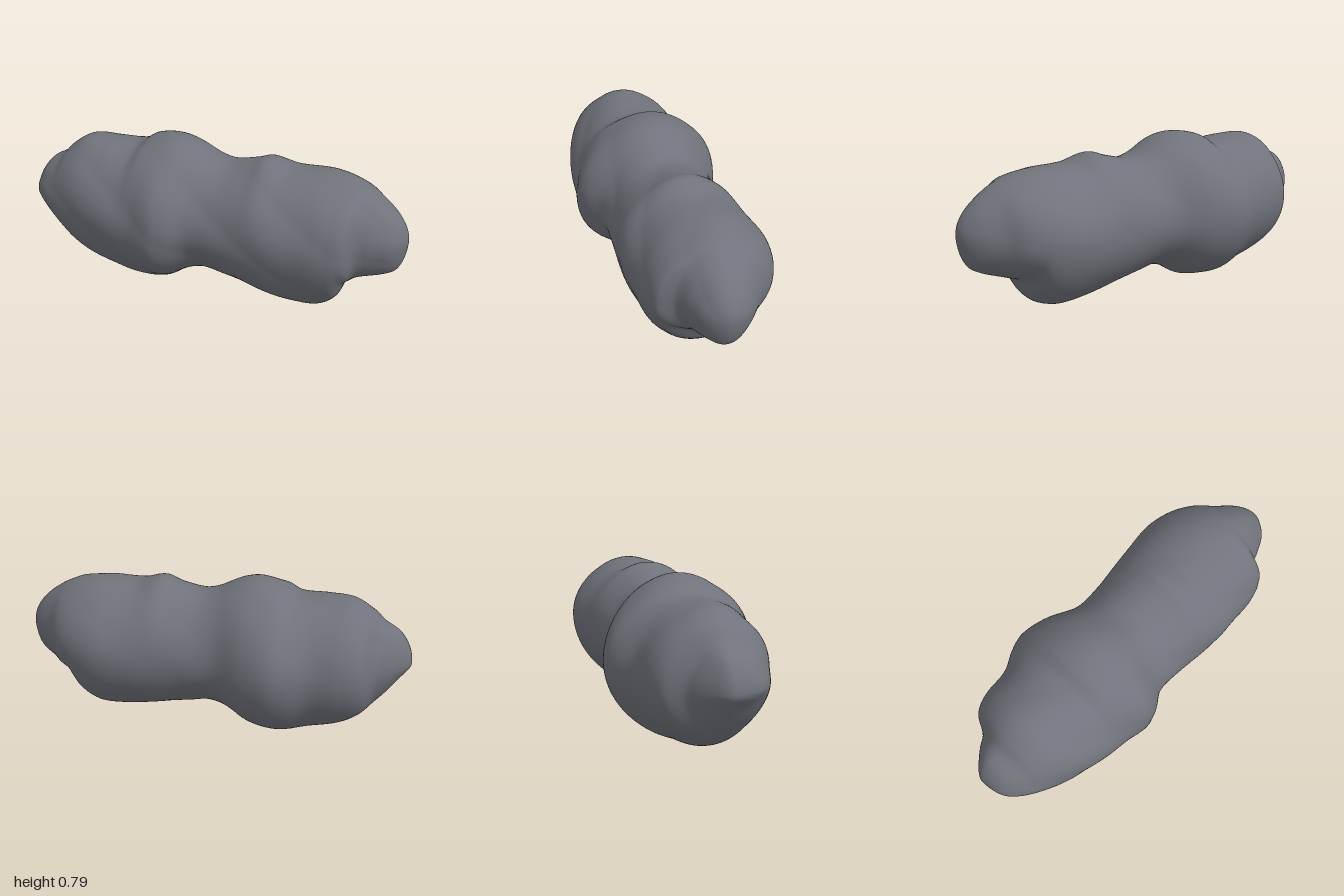
import * as THREE from 'three';

// Outline of the body as [x, distance] pairs: height above ground, or depth in z
const TOP = [[-1, .42], [-.98, .5], [-.93, .57], [-.85, .62], [-.8, .67], [-.7, .725], [-.57, .73], [-.42, .73], [-.35, .77],
  [-.22, .79], [-.12, .77], [0, .715], [.08, .7], [.2, .725], [.28, .75], [.4, .72], [.6, .72], [.75, .69], [.88, .62], [.97, .53], [1, .44]];
const BOTTOM = [[-1, .42], [-.95, .34], [-.85, .21], [-.75, .11], [-.65, .06], [-.5, .025], [-.37, 0], [-.22, .02], [-.1, .09],
  [0, .115], [.1, .095], [.3, .055], [.5, .03], [.6, .035], [.68, .09], [.72, .18], [.78, .21], [.9, .25], [.96, .29], [1, .44]];
const BACK = [[-1, 0], [-.95, -.08], [-.88, -.14], [-.83, -.18], [-.78, -.26], [-.68, -.305], [-.53, -.325], [-.42, -.38], [-.33, -.4],
  [-.2, -.37], [-.05, -.3], [.1, -.295], [.25, -.31], [.4, -.33], [.55, -.34], [.68, -.31], [.78, -.25], [.85, -.17], [.93, -.1], [1, .04]];
const FRONT = [[-1, 0], [-.98, .11], [-.92, .18], [-.8, .25], [-.65, .31], [-.5, .345], [-.35, .365], [-.22, .395], [-.15, .375],
  [-.05, .315], [.1, .315], [.35, .345], [.5, .335], [.65, .33], [.74, .3], [.77, .23], [.85, .19], [.93, .15], [.99, .08], [1, .04]];

// Local swellings and hollows: x, angle round the body (0 front, 90 top), width in x, width in angle, amount
const BUMPS = [
  [.45, -48, .25, 30, .05],   // swelling low on the front
  [.8, 45, .07, 25, .05],     // rounded shoulder of the right end
  [-.83, 140, .05, 40, -.06], // crease behind the left end
];

// Smooth lookup along an outline, in the angle u where x = -cos(u), so the ends come out round
function outline(points) {
  const us = points.map(p => Math.acos(-p[0]));
  const vs = points.map(p => p[1]);
  const last = us.length - 1;
  const slope = i => {
    const a = Math.max(i - 1, 0), b = Math.min(i + 1, last);
    return (vs[b] - vs[a]) / (us[b] - us[a]);
  };
  return u => {
    let i = 0;
    while (i < last - 1 && u > us[i + 1]) i++;
    const h = us[i + 1] - us[i], t = (u - us[i]) / h, t2 = t * t, t3 = t2 * t;
    return (2 * t3 - 3 * t2 + 1) * vs[i] + (t3 - 2 * t2 + t) * h * slope(i)
      + (3 * t2 - 2 * t3) * vs[i + 1] + (t3 - t2) * h * slope(i + 1);
  };
}

// Surface relief: soft helical grooves on the front, flattened corners and the local bumps
const FOLDS = 6, TWIST = 2.2;
function relief(x, phi) {
  const c = Math.cos(FOLDS / 2 * (phi - Math.PI / 2 + TWIST * (x + .22)));
  const valley = 1 - Math.min(1, Math.sqrt(c * c + .05));
  let f = 1 - .03 * (.6 + .4 * Math.cos(phi)) * valley - .025 * Math.sin(2 * phi) ** 2;
  for (const [bx, angle, wx, wa, amount] of BUMPS) {
    const turn = phi - THREE.MathUtils.degToRad(angle);
    const da = Math.atan2(Math.sin(turn), Math.cos(turn)) / THREE.MathUtils.degToRad(wa);
    f += amount * Math.exp(-(((x - bx) / wx) ** 2) - da * da);
  }
  return f;
}

function bodyGeometry(rings = 180, sides = 120) {
  const [top, bottom, back, front] = [TOP, BOTTOM, BACK, FRONT].map(outline);
  const pos = [-1, .42, 0], index = [];
  for (let i = 1; i < rings; i++) {
    const u = Math.PI * i / rings, x = -Math.cos(u);
    const cy = .39 + .01 * x + .04 * x * x, cz = .04 * Math.max(0, x) ** 4;
    const up = top(u) - cy, down = cy - bottom(u), fore = front(u) - cz, aft = cz - back(u);
    for (let j = 0; j < sides; j++) {
      const phi = 2 * Math.PI * j / sides, s = Math.sin(phi), c = Math.cos(phi), f = relief(x, phi);
      pos.push(x, cy + f * s * (s > 0 ? up : down), cz + f * c * (c > 0 ? fore : aft));
    }
  }
  const end = pos.length / 3;
  pos.push(1, .44, .04);

  // Skin between rings, then a fan at each end
  const at = (i, j) => 1 + (i - 1) * sides + j % sides;
  for (let j = 0; j < sides; j++) {
    index.push(0, at(1, j), at(1, j + 1), at(rings - 1, j), end, at(rings - 1, j + 1));
    for (let i = 1; i < rings - 1; i++) {
      index.push(at(i, j), at(i + 1, j), at(i, j + 1), at(i + 1, j), at(i + 1, j + 1), at(i, j + 1));
    }
  }
  const geo = new THREE.BufferGeometry();
  geo.setAttribute('position', new THREE.Float32BufferAttribute(pos, 3));
  geo.setIndex(index);
  geo.computeVertexNormals();
  return geo;
}

export function createModel() {
  const group = new THREE.Group();
  group.name = 'twistedRock';
  const stone = new THREE.MeshStandardMaterial({ color: 0x70737b });
  stone.name = 'slate grey';
  const body = new THREE.Mesh(bodyGeometry(), stone);
  body.name = 'rockBody';
  group.add(body);
  return group;
}
